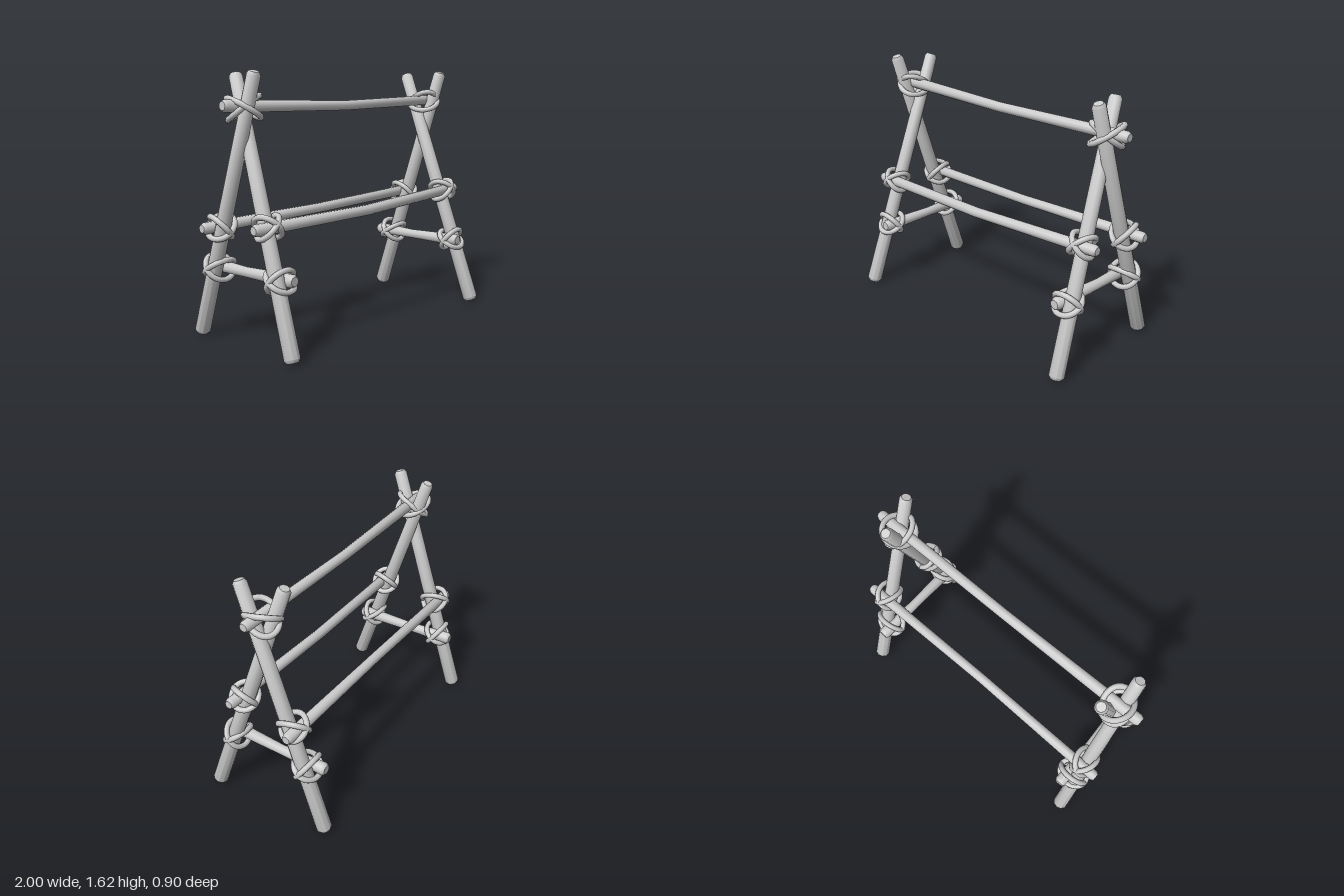
import * as THREE from 'three';
import { toCreasedNormals } from 'three/addons/utils/BufferGeometryUtils.js';

const material = new THREE.MeshStandardMaterial({ color: 0xcccccc });
const V = (x, y, z) => new THREE.Vector3(x, y, z);

function add(parent, name, geometry) {
  const mesh = new THREE.Mesh(geometry, material);
  mesh.name = name;
  parent.add(mesh);
}

// Tapered pole with bevelled ends, running a -> mid -> b
function pole(parent, name, a, mid, b, [ra, rm, rb]) {
  const axis = b.clone().sub(a);
  const bevel = 0.02 / axis.length();
  const profile = [
    [0, 0], [ra * 0.7, 0], [ra, bevel], [rm, 0.5],
    [rb, 1 - bevel], [rb * 0.7, 1], [0, 1],
  ].map(([r, t]) => new THREE.Vector2(r, t));
  const geometry = new THREE.LatheGeometry(profile, 10);
  const turn = new THREE.Quaternion().setFromUnitVectors(V(0, 1, 0), axis.normalize());
  const pos = geometry.attributes.position;
  for (let i = 0; i < pos.count; i++) {
    const t = pos.getY(i);
    const centre = t < 0.5 ? a.clone().lerp(mid, t * 2) : mid.clone().lerp(b, t * 2 - 1);
    const p = V(pos.getX(i), 0, pos.getZ(i)).applyQuaternion(turn).add(centre);
    pos.setXYZ(i, p.x, p.y, p.z);
  }
  add(parent, name, toCreasedNormals(geometry, 0.8));
}

// Closed rope loop: ellipse spanned by the half-axes u and v
function ropeLoop(parent, centre, u, v) {
  const points = [];
  for (let i = 0; i < 16; i++) {
    const t = (i / 16) * Math.PI * 2;
    points.push(centre.clone().addScaledVector(u, Math.cos(t)).addScaledVector(v, Math.sin(t)));
  }
  const curve = new THREE.CatmullRomCurve3(points, true);
  add(parent, 'ropeLoop', new THREE.TubeGeometry(curve, 32, 0.018, 8, true));
}

// Two diagonal loops binding poles that cross at p (direction a) and q (direction b)
function lashing(parent, name, p, a, q, b) {
  const group = new THREE.Group();
  group.name = name;
  parent.add(group);
  const n = a.clone().cross(b).normalize();
  const depth = Math.abs(q.clone().sub(p).dot(n)) / 2 + 0.062;
  const centre = p.clone().add(q).multiplyScalar(0.5);
  for (const sign of [1, -1]) {
    const diagonal = a.clone().addScaledVector(b, sign).normalize();
    ropeLoop(group, centre, diagonal.multiplyScalar(0.088), n.clone().multiplyScalar(depth));
  }
}

const atHeight = ([a, b], y) => a.clone().lerp(b, (y - a.y) / (b.y - a.y));

export function createModel() {
  const model = new THREE.Group();
  model.name = 'poleRack';

  // Long horizontal poles: a, middle, b, radii
  const bars = {
    topBar: [V(-1, 1.43, -0.005), V(0, 1.41, -0.005), V(1, 1.43, -0.005), [0.038, 0.032, 0.035]],
    frontBar: [V(-0.97, 0.75, 0.205), V(0, 0.752, 0.198), V(0.965, 0.80, 0.188), [0.036, 0.034, 0.036]],
    backBar: [V(-0.975, 0.705, -0.25), V(0, 0.72, -0.232), V(0.99, 0.75, -0.238), [0.036, 0.032, 0.036]],
  };
  for (const [name, args] of Object.entries(bars)) pole(model, name, ...args);

  for (const s of [1, -1]) {
    const side = new THREE.Group();
    side.name = s > 0 ? 'leftFrame' : 'rightFrame';
    model.add(side);

    // Crossed legs
    const legs = {
      front: [V(s * 0.875, 0.02, 0.41), V(s * 0.795, 1.612, -0.135)],
      back: [V(s * 0.87, 0.02, -0.41), V(s * 0.865, 1.622, 0.115)],
    };
    for (const [name, [a, b]] of Object.entries(legs)) {
      pole(side, name + 'Leg', a, a.clone().lerp(b, 0.5), b, [0.05, 0.047, 0.042]);
    }

    // Brace between the legs
    const braceFront = V(s * 0.79, 0.455, 0.345);
    const braceBack = V(s * 0.805, 0.452, -0.385);
    pole(side, 'brace', braceFront, V(s * 0.8, 0.447, -0.06), braceBack, [0.041, 0.032, 0.041]);

    // Lashings where each leg meets the brace and its long bar
    for (const [name, leg] of Object.entries(legs)) {
      const dir = leg[1].clone().sub(leg[0]).normalize();
      const low = atHeight(leg, 0.45);
      lashing(side, name + 'BraceLashing', low, dir, V(s * 0.797, 0.452, low.z), V(0, 0, 1));

      const [a, mid, b] = bars[name + 'Bar'];
      const onBar = mid.clone().lerp(s > 0 ? b : a, 0.87);
      lashing(side, name + 'BarLashing', atHeight(leg, onBar.y), dir, onBar, V(1, 0, 0));
    }

    // Top lashing around both legs and the top bar
    const top = new THREE.Group();
    top.name = 'topLashing';
    side.add(top);
    const centre = V(s * 0.84, 1.415, -0.01);
    ropeLoop(top, centre, V(s * 0.088, 0.05, 0), V(0, -0.025, 0.108));
    ropeLoop(top, centre, V(s * 0.085, -0.045, 0), V(0, 0.055, 0.095));
  }
  return model;
}
